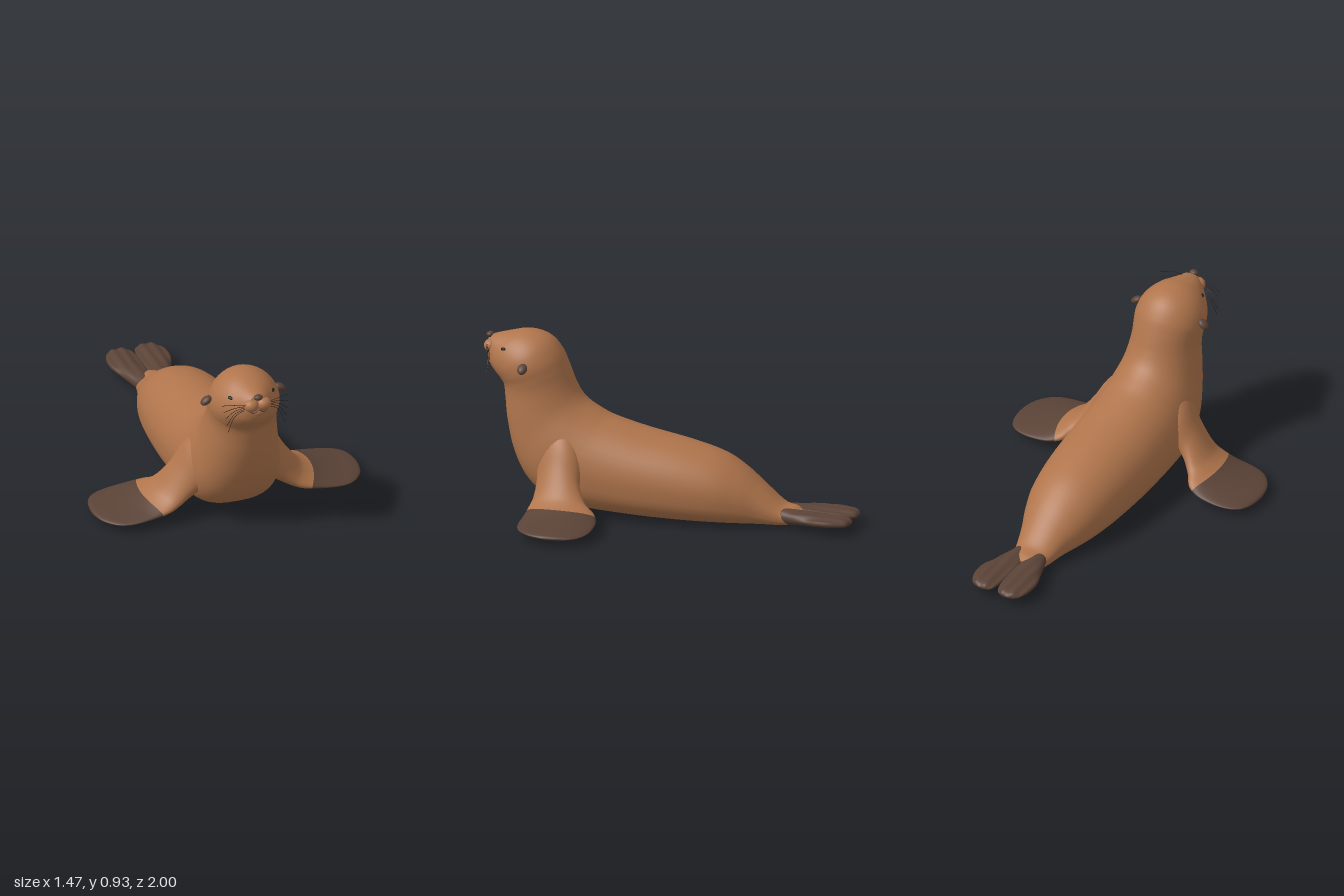
import * as THREE from 'three';

const material = (name, color) => {
  const m = new THREE.MeshStandardMaterial({ color });
  m.name = name;
  return m;
};

// Loft of rounded sections. Station: [p1,q1, p2,q2, w, c] = upper point, lower point,
// half width, sideways centre. place(p, q, s) maps to 3D.
// shape(q2) gives the height of the widest line and the squareness of the lower half.
// Rings after splitAt (0..1) use the second material.
function loft(stations, place, rings, { shape = () => [0.5, 1], splitAt = 1 } = {}) {
  const sides = 40;
  const curve = (f) => new THREE.CatmullRomCurve3(stations.map((s) => new THREE.Vector3(...f(s))), false, 'catmullrom', 0.5);
  const upper = curve((s) => [s[0], s[1], s[4]]);
  const lower = curve((s) => [s[2], s[3], s[5] ?? 0]);
  const pos = [], index = [];
  const push = (p, q, s) => pos.push(...place(p, q, s).toArray());
  for (let i = 0; i <= rings; i++) {
    const A = upper.getPoint(i / rings), B = lower.getPoint(i / rings);
    const [k, square] = shape(B.y);
    const mid = B.clone().lerp(A, k);
    for (let j = 0; j < sides; j++) {
      const a = (j / sides) * Math.PI * 2, ca = Math.cos(a), sa = Math.sin(a);
      const e = ca > 0 ? 1 : square, h = Math.abs(ca) ** e, end = ca > 0 ? A : B;
      push(mid.x + (end.x - mid.x) * h, mid.y + (end.y - mid.y) * h,
        B.z + A.z * Math.sign(sa) * Math.abs(sa) ** e);
    }
  }
  for (const t of [0, 1]) {
    const A = upper.getPoint(t), B = lower.getPoint(t);
    push((A.x + B.x) / 2, (A.y + B.y) / 2, B.z);
  }
  const c0 = (rings + 1) * sides, last = rings * sides;
  for (let j = 0; j < sides; j++) index.push(c0, (j + 1) % sides, j);
  for (let i = 0; i < rings; i++) for (let j = 0; j < sides; j++) {
    const a = i * sides + j, b = i * sides + (j + 1) % sides;
    index.push(a, b, a + sides, b, b + sides, a + sides);
  }
  for (let j = 0; j < sides; j++) index.push(c0 + 1, last + j, last + (j + 1) % sides);
  // Turn the faces outward whatever the handedness of place()
  let volume = 0;
  const v = (i) => new THREE.Vector3().fromArray(pos, i * 3);
  for (let i = 0; i < index.length; i += 3) volume += v(index[i]).dot(v(index[i + 1]).cross(v(index[i + 2])));
  if (volume < 0) for (let i = 0; i < index.length; i += 3) [index[i], index[i + 1]] = [index[i + 1], index[i]];
  const g = new THREE.BufferGeometry();
  g.setAttribute('position', new THREE.Float32BufferAttribute(pos, 3));
  g.setIndex(index);
  const cut = (sides + Math.round(rings * splitAt) * sides * 2) * 3;
  g.addGroup(0, cut, 0);
  g.addGroup(cut, index.length - cut, 1);
  g.computeVertexNormals();
  return g;
}

export function createModel() {
  const model = new THREE.Group();
  model.name = 'seaLion';
  const skin = material('brown fur', 0xb0754c);
  const dark = material('dark flipper skin', 0x5a4236);
  const black = material('eye and whisker black', 0x2b211d);

  const add = (name, geometry, mat) => {
    const mesh = new THREE.Mesh(geometry, mat);
    mesh.name = name;
    model.add(mesh);
    return mesh;
  };
  const ball = (name, mat, [x, y, z], [rx, ry, rz]) => {
    const mesh = add(name, new THREE.SphereGeometry(1, 24, 16), mat);
    mesh.position.set(x, y, z);
    mesh.scale.set(rx, ry, rz);
    return mesh;
  };
  const strand = (name, mat, points, r) => add(name, new THREE.TubeGeometry(
    new THREE.CatmullRomCurve3(points.map((p) => new THREE.Vector3(...p))), 12, r, 5), mat);

  // Body, neck and head: sections fan round from the tail up to the snout,
  // with a flat belly that gets rounder as the sections leave the ground
  const bellyShape = (q) => {
    const f = THREE.MathUtils.clamp(q / 0.6, 0, 1);
    return [0.42 + 0.08 * f, 0.7 + 0.3 * f];
  };
  add('body', loft([
    [-0.72, 0.085, -0.72, 0.04, 0.03],
    [-0.68, 0.102, -0.68, 0.018, 0.085],
    [-0.61, 0.12, -0.61, 0.008, 0.104],
    [-0.5, 0.21, -0.5, 0.006, 0.137],
    [-0.4, 0.29, -0.4, 0.005, 0.178],
    [-0.28, 0.357, -0.28, 0.004, 0.215],
    [-0.1, 0.407, -0.1, 0.004, 0.242],
    [0.13, 0.452, 0.15, 0.01, 0.257],
    [0.31, 0.5, 0.45, 0.028, 0.258],
    [0.39, 0.537, 0.62, 0.06, 0.252],
    [0.45, 0.575, 0.75, 0.16, 0.236],
    [0.487, 0.615, 0.83, 0.3, 0.212],
    [0.515, 0.665, 0.87, 0.45, 0.194],
    [0.535, 0.715, 0.885, 0.57, 0.183],
    [0.555, 0.765, 0.893, 0.64, 0.184],
    [0.585, 0.83, 0.91, 0.673, 0.188],
    [0.635, 0.893, 0.935, 0.7, 0.178],
    [0.7, 0.928, 0.955, 0.722, 0.156],
    [0.78, 0.938, 0.97, 0.742, 0.126],
    [0.86, 0.922, 0.979, 0.762, 0.095],
    [0.92, 0.907, 0.984, 0.782, 0.071],
    [0.962, 0.895, 0.985, 0.81, 0.045],
  ], (p, q, s) => new THREE.Vector3(s, q, p), 110, { shape: bellyShape }), [skin, skin]);

  // Muzzle
  ball('nose', dark, [0, 0.893, 0.975], [0.024, 0.015, 0.02]);
  ball('chin', skin, [0, 0.8, 0.955], [0.04, 0.03, 0.034]);

  for (const m of [1, -1]) {
    const side = m > 0 ? 'left' : 'right';

    // Front flipper: brown arm, dark paddle with a bowed border
    add(side + 'FrontFlipper', loft([
      [0.17, 0.48, 0.15, 0.16, 0.115, 0.55],
      [0.245, 0.4, 0.21, 0.15, 0.13, 0.545],
      [0.31, 0.285, 0.27, 0.105, 0.122, 0.53],
      [0.38, 0.182, 0.34, 0.062, 0.145, 0.505],
      [0.43, 0.137, 0.41, 0.042, 0.178, 0.48],
      [0.51, 0.102, 0.5, 0.035, 0.196, 0.465],
      [0.61, 0.078, 0.61, 0.034, 0.199, 0.463],
      [0.68, 0.067, 0.68, 0.035, 0.18, 0.458],
      [0.72, 0.059, 0.72, 0.037, 0.13, 0.44],
      [0.734, 0.05, 0.734, 0.042, 0.06, 0.42],
    ], (p, q, s) => new THREE.Vector3(m * (p - 1.2 * (s - 0.46) ** 2), q, s), 60, { splitAt: 0.5 }), [skin, dark]);

    // Hind flipper lobe with toe ridges
    add(side + 'HindFlipper', loft([
      [-0.62, 0.1, -0.62, 0.022, 0.045, 0.05],
      [-0.67, 0.1, -0.67, 0.02, 0.057, 0.053],
      [-0.75, 0.097, -0.75, 0.028, 0.072, 0.066],
      [-0.83, 0.093, -0.83, 0.035, 0.084, 0.08],
      [-0.9, 0.09, -0.9, 0.038, 0.083, 0.083],
      [-0.955, 0.087, -0.955, 0.04, 0.071, 0.08],
      [-0.985, 0.08, -0.985, 0.044, 0.053, 0.076],
      [-1, 0.068, -1, 0.055, 0.022, 0.072],
    ], (p, q, s) => {
      const ridge = q > 0.065 ? 0.004 * Math.cos(s * 115) * Math.min(1, (-0.62 - p) * 5) : 0;
      return new THREE.Vector3(m * s, q + ridge, p);
    }, 40), [dark, dark]);

    // Face
    ball(side + 'WhiskerPad', skin, [m * 0.034, 0.843, 0.963], [0.04, 0.034, 0.036]);
    const eye = ball(side + 'Eye', black, [m * 0.112, 0.853, 0.872], [0.02, 0.009, 0.012]);
    eye.rotation.set(0, m * 0.75, m * 0.15);
    const ear = ball(side + 'Ear', dark, [m * 0.205, 0.783, 0.743], [0.034, 0.019, 0.026]);
    ear.rotation.z = m * -0.6;
    strand(side + 'Mouth', dark, [[0, 0.825, 0.988], [m * 0.03, 0.808, 0.986], [m * 0.066, 0.822, 0.958]], 0.003);

    // Whiskers fan out from the pad and droop
    for (let i = 0; i < 5; i++) {
      const y = 0.855 - i * 0.007, drop = i * 0.032;
      strand(side + 'Whisker' + (i + 1), black, [
        [m * 0.055, y, 0.975 - i * 0.003],
        [m * 0.12, y + 0.006 - drop * 0.4, 0.962 - i * 0.004],
        [m * (0.185 - i * 0.007), y - drop, 0.935 + i * 0.004],
      ], 0.0015);
    }
  }
  return model;
}
